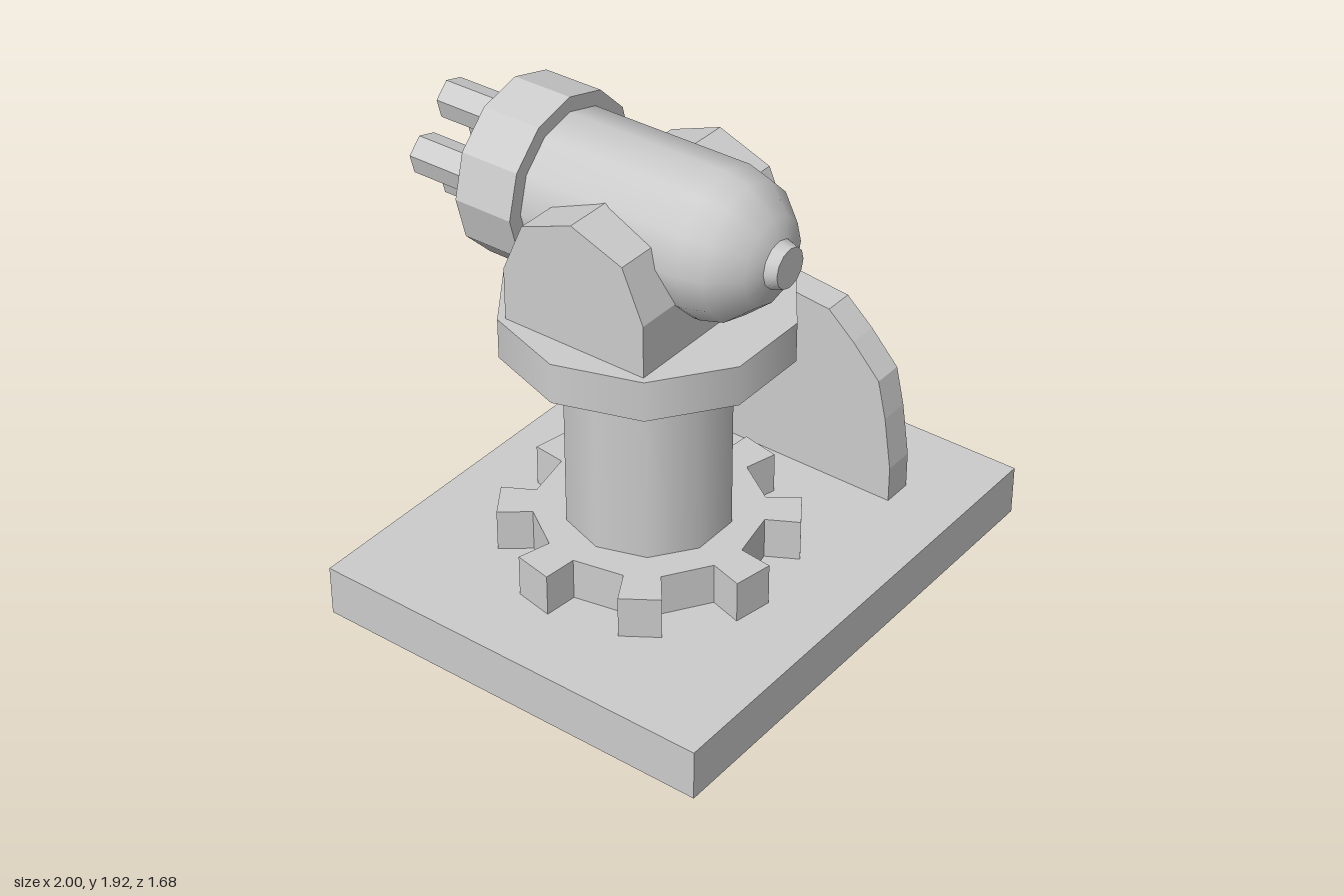
import * as THREE from 'three';
import { toCreasedNormals } from 'three/addons/utils/BufferGeometryUtils.js';

const AX = -0.18, AZ = 0.025, GUN_Y = 1.59; // turret axis and gun height
const smooth = new THREE.MeshStandardMaterial({ color: 0xcccccc });
const flat = new THREE.MeshStandardMaterial({ color: 0xcccccc, flatShading: true });

function add(parent, name, geometry, material = flat) {
  const mesh = new THREE.Mesh(geometry, material);
  mesh.name = name;
  parent.add(mesh);
  return mesh;
}

const toShape = (pts) => new THREE.Shape(pts.map(([a, b]) => new THREE.Vector2(a, b)));

// Side profile of [z, y] points, extruded along x from x0 to x1
function sidePlate(pts, x0, x1) {
  return new THREE.ExtrudeGeometry(toShape(pts), { depth: x1 - x0, bevelEnabled: false })
    .rotateY(-Math.PI / 2).translate(x1, 0, 0);
}

// Mirrors half a profile in z about a centre line
function mirrored(half, centre = 0) {
  const other = half.filter(([z]) => z > 0).reverse().map(([z, y]) => [-z, y]);
  return [...half, ...other].map(([z, y]) => [z + centre, y]);
}

// Lathe around the z axis from [radius, z] points
function turned(pts, sides) {
  return new THREE.LatheGeometry(pts.map(([r, z]) => new THREE.Vector2(r, z)), sides)
    .rotateX(Math.PI / 2);
}

const ring = (ro, ri, z0, z1) => [[ro, z0], [ro, z1], [ri, z1], [ri, z0], [ro, z0]];

function decagon(r, y0, y1) {
  return new THREE.CylinderGeometry(r, r, y1 - y0, 10)
    .rotateY(Math.PI / 10).translate(AX, (y0 + y1) / 2, AZ);
}

// Eight-toothed gear outline
function gearGeometry() {
  const pts = [], h = 8;
  for (let i = 0; i < 8; i++) {
    const mid = 11 + i * 45;
    for (const [r, a] of [[0.42, -h - 1], [0.55, -h], [0.55, h], [0.42, h + 1]]) {
      const t = THREE.MathUtils.degToRad(mid + a);
      pts.push([r * Math.cos(t), r * Math.sin(t)]);
    }
  }
  return new THREE.ExtrudeGeometry(toShape(pts), { depth: 0.165, bevelEnabled: false })
    .rotateX(Math.PI / 2).translate(AX, 0.365, AZ);
}

export function createModel() {
  const model = new THREE.Group();
  model.name = 'turret';

  // Base, gear and pedestal
  add(model, 'basePlate', new THREE.BoxGeometry(2, 0.2, 1.63).translate(0, 0.1, 0.025));
  add(model, 'gear', gearGeometry());
  add(model, 'pedestal', decagon(0.31, 0.2, 1.11), smooth);
  add(model, 'turntable', decagon(0.533, 1.105, 1.26), smooth);

  // Upright rounded shield beside the pedestal
  const shield = mirrored([[0.575, 0.2], [0.575, 0.345], [0.545, 0.553], [0.51, 0.705],
    [0.395, 0.83], [0.285, 0.928], [0, 0.96]]);
  add(model, 'shield', sidePlate(shield, 0.545, 0.665));

  // Cradle holding the gun, with a bevelled pivot cap on one side
  const cradle = mirrored([[0.295, 1.26], [0.295, 1.46], [0.21, 1.655], [0, 1.735]], AZ);
  add(model, 'cradle', sidePlate(cradle, -0.59, 0.225));
  add(model, 'pivotCap', new THREE.CylinderGeometry(0.085, 0.132, 0.045, 8)
    .rotateZ(-Math.PI / 2).translate(0.2475, 1.465, AZ));

  // Gun, built along the z axis
  const gun = new THREE.Group();
  gun.name = 'gun';
  gun.position.set(AX, GUN_Y, 0);
  model.add(gun);

  const body = turned([[0, -0.34], [0.273, -0.34], [0.273, 0.345], [0.25, 0.435],
    [0.16, 0.54], [0.088, 0.565], [0.075, 0.61], [0, 0.61]], 12);
  add(gun, 'gunBody', toCreasedNormals(body, 0.65), smooth);
  add(gun, 'collar', turned(ring(0.33, 0.27, -0.543, -0.305), 12));

  // Four hollow hexagonal barrels
  for (let i = 0; i < 4; i++) {
    const a = i * Math.PI / 2;
    const barrel = add(gun, 'barrel', turned(ring(0.077, 0.055, -0.84, -0.33), 6));
    barrel.position.set(0.152 * Math.cos(a), 0.152 * Math.sin(a), 0);
    barrel.rotation.z = Math.PI / 12;
  }
  return model;
}
